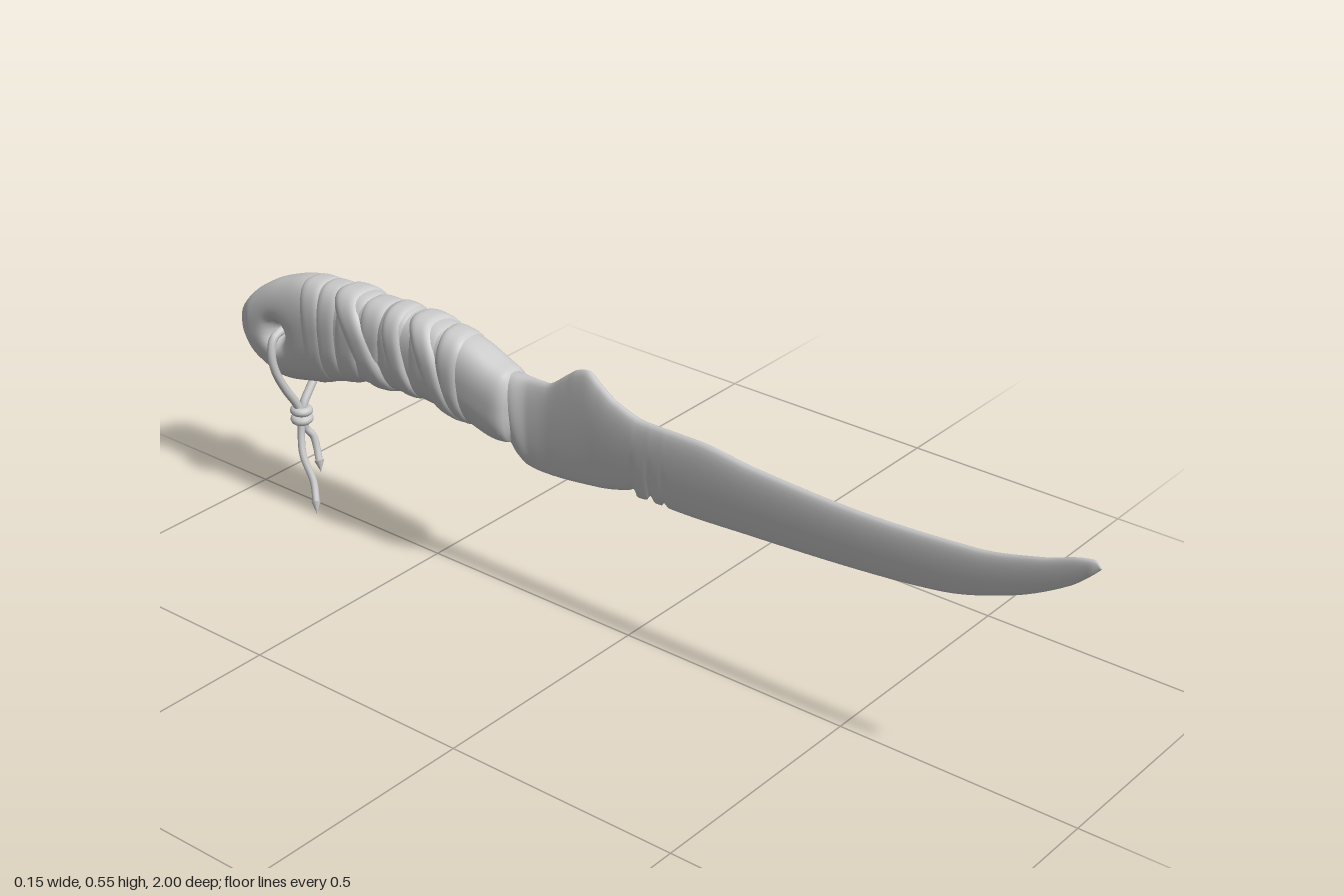
import * as THREE from 'three';

const MID_X = -0.007;
const mat = new THREE.MeshStandardMaterial({ color: 0xcccccc, side: THREE.DoubleSide });

// Smooth, non-overshooting curve through [z, value] keys in ascending z
function curve(keys) {
  const n = keys.length;
  const slope = keys.slice(1).map((k, i) => (k[1] - keys[i][1]) / (k[0] - keys[i][0]));
  const tan = keys.map((_, i) => {
    if (i === 0) return slope[0];
    if (i === n - 1) return slope[n - 2];
    const a = slope[i - 1], b = slope[i];
    return a * b <= 0 ? 0 : (2 * a * b) / (a + b);
  });
  return z => {
    if (z <= keys[0][0]) return keys[0][1];
    if (z >= keys[n - 1][0]) return keys[n - 1][1];
    let i = 0;
    while (z > keys[i + 1][0]) i++;
    const h = keys[i + 1][0] - keys[i][0], t = (z - keys[i][0]) / h, t2 = t * t, t3 = t2 * t;
    return (2 * t3 - 3 * t2 + 1) * keys[i][1] + (t3 - 2 * t2 + t) * h * tan[i]
      + (3 * t2 - 2 * t3) * keys[i + 1][1] + (t3 - t2) * h * tan[i + 1];
  };
}

// Skin of closed rings; point(i, angle) gives [x, y, z], z rising with i
function loft(rings, sides, point) {
  const pos = [], idx = [];
  for (let i = 0; i < rings; i++) {
    for (let j = 0; j < sides; j++) pos.push(...point(i, (j / sides) * Math.PI * 2));
  }
  for (let i = 0; i < rings - 1; i++) {
    for (let j = 0; j < sides; j++) {
      const a = i * sides + j, b = i * sides + (j + 1) % sides;
      idx.push(a, b, a + sides, b, b + sides, a + sides);
    }
  }
  const g = new THREE.BufferGeometry();
  g.setAttribute('position', new THREE.Float32BufferAttribute(pos, 3));
  g.setIndex(idx);
  g.computeVertexNormals();
  return g;
}

const power = (v, e) => Math.sign(v) * Math.abs(v) ** e;

// Blade outline and half thickness
const bladeTop = curve([[-0.32, 0.47], [-0.27, 0.485], [-0.19, 0.488], [-0.14, 0.52], [-0.115, 0.538],
  [-0.09, 0.545], [-0.06, 0.525], [-0.02, 0.5], [0.05, 0.482], [0.17, 0.483], [0.3, 0.47], [0.515, 0.462],
  [0.76, 0.475], [0.89, 0.504], [0.965, 0.53], [0.99, 0.534], [1, 0.522]]);
const bladeBottom = curve([[-0.32, 0.36], [-0.28, 0.335], [-0.26, 0.31], [-0.24, 0.296], [-0.21, 0.292],
  [-0.07, 0.306], [0.005, 0.325], [0.022, 0.333], [0.03, 0.318], [0.05, 0.32], [0.06, 0.333], [0.072, 0.32],
  [0.085, 0.32], [0.092, 0.328], [0.105, 0.32], [0.3, 0.33], [0.515, 0.345], [0.7, 0.367], [0.835, 0.41],
  [0.945, 0.47], [0.985, 0.505], [1, 0.521]]);
const bladeHalf = curve([[-0.32, 0.035], [-0.265, 0.034], [-0.23, 0.02], [-0.18, 0.015], [0, 0.015],
  [0.5, 0.013], [0.85, 0.01], [0.98, 0.007], [1, 0.001]]);

// Handle outline and half width
const gripTop = curve([[-1, 0.402], [-0.995, 0.42], [-0.98, 0.443], [-0.94, 0.48], [-0.88, 0.512],
  [-0.8, 0.535], [-0.7, 0.538], [-0.6, 0.538], [-0.5, 0.536], [-0.38, 0.524], [-0.3, 0.495], [-0.272, 0.484], [-0.262, 0.46]]);
const gripBottom = curve([[-1, 0.398], [-0.995, 0.375], [-0.98, 0.35], [-0.94, 0.312], [-0.88, 0.292],
  [-0.8, 0.306], [-0.7, 0.34], [-0.6, 0.361], [-0.5, 0.369], [-0.38, 0.355], [-0.3, 0.336], [-0.272, 0.338], [-0.262, 0.36]]);
const gripHalf = curve([[-1, 0.002], [-0.996, 0.022], [-0.98, 0.042], [-0.95, 0.053], [-0.85, 0.057],
  [-0.6, 0.054], [-0.4, 0.054], [-0.3, 0.05], [-0.275, 0.044], [-0.262, 0.028]]);

// Point on the handle skin, pushed out by `out`
function gripPoint(z, a, out = 0) {
  const top = gripTop(z) + out, bottom = gripBottom(z) - out;
  const x = (gripHalf(z) + out) * power(Math.sin(a), 0.75);
  return [x, (top + bottom) / 2 - (top - bottom) / 2 * power(Math.cos(a), 0.75), z];
}

// Leather strip wound round the handle: centre z, width, and lean (dz per dy)
function wrapBand(z0, width, lean, lift) {
  const rows = 11;
  return loft(rows, 64, (i, a) => {
    const u = (i / (rows - 1)) * 2 - 1;
    const y0 = gripPoint(z0, a)[1] - 0.45;
    const z = z0 + lean * y0 + u * width / 2 + 0.003 * Math.sin(3 * a + z0 * 40);
    return gripPoint(z, a, -0.004 + (lift + 0.004) * (1 - u ** 4));
  });
}

const tube = (pts, r) => new THREE.TubeGeometry(
  new THREE.CatmullRomCurve3(pts.map(p => new THREE.Vector3(...p))), 48, r, 10);

export function createModel() {
  const model = new THREE.Group();
  const body = new THREE.Group();
  body.name = 'knife';
  body.position.x = MID_X;
  model.add(body);
  const add = (name, geometry, parent = body) => {
    const m = new THREE.Mesh(geometry, mat);
    m.name = name;
    parent.add(m);
    return m;
  };

  // Blade: rounded spine, thin cutting edge
  const bladeRings = 300;
  add('blade', loft(bladeRings, 28, (i, a) => {
    const z = -0.32 + 1.32 * i / (bladeRings - 1);
    const top = bladeTop(z), bottom = bladeBottom(z);
    const v = (1 - Math.cos(a)) / 2;
    const x = bladeHalf(z) * power(Math.sin(a), 0.8) * (0.65 + 0.45 * v);
    return [x, bottom + (top - bottom) * v, z];
  }));

  // Handle: pinched in on both sides around the cord hole
  const gripRings = 130;
  add('handle', loft(gripRings, 96, (i, a) => {
    const t = i / (gripRings - 1);
    const p = gripPoint(-1 + 0.738 * t ** 1.4, a);
    const d = Math.hypot(p[1] - 0.4, p[2] + 0.88);
    p[0] *= 1 - 0.8 * Math.exp(-((d / 0.022) ** 2)) - 0.12 * Math.exp(-((d / 0.045) ** 2));
    return p;
  }));

  // Wrapping: upright strips below, leaning strips crossing over them
  const wraps = new THREE.Group();
  wraps.name = 'handleWrap';
  body.add(wraps);
  [
    [-0.40, 0.06, -0.12, 0.005], [-0.47, 0.08, 0.05, 0.003], [-0.55, 0.07, -0.05, 0.004],
    [-0.61, 0.065, 0.06, 0.003], [-0.67, 0.065, 0.1, 0.004], [-0.725, 0.06, -0.08, 0.003],
    [-0.77, 0.06, -0.1, 0.003], [-0.445, 0.065, -0.5, 0.009], [-0.635, 0.07, -0.55, 0.009],
    [-0.535, 0.055, -0.25, 0.007],
  ].forEach(b => add('wrapStrip', wrapBand(...b), wraps));

  // Lanyard: loop through the hole, knot, two tails with pointed ends
  const lanyard = new THREE.Group();
  lanyard.name = 'lanyard';
  model.add(lanyard);
  add('cordLoop', tube([
    [-0.006, 0.195, -0.87], [-0.014, 0.226, -0.871], [-0.04, 0.27, -0.874], [-0.062, 0.32, -0.878],
    [-0.067, 0.36, -0.88], [-0.056, 0.392, -0.881], [-0.02, 0.402, -0.88], [0.025, 0.402, -0.88],
    [0.053, 0.39, -0.881], [0.066, 0.36, -0.88], [0.062, 0.31, -0.878], [0.053, 0.28, -0.876],
    [0.027, 0.25, -0.873], [0.004, 0.222, -0.871], [0.0, 0.195, -0.87],
  ], 0.009), lanyard);
  [[0.192, 0.08], [0.211, -0.06]].forEach(([y, tilt]) => {
    const ring = add('knotRing', new THREE.TorusGeometry(0.0145, 0.0095, 12, 28).rotateX(Math.PI / 2), lanyard);
    ring.position.set(-0.004, y, -0.87);
    ring.rotation.z = tilt;
  });
  const tails = [
    [[-0.005, 0.195, -0.87], [-0.01, 0.16, -0.869], [-0.019, 0.115, -0.858], [-0.018, 0.06, -0.833], [-0.029, 0.024, -0.817]],
    [[0.0, 0.195, -0.87], [0.006, 0.165, -0.871], [0.018, 0.145, -0.864], [0.019, 0.12, -0.856], [0.014, 0.094, -0.846]],
  ];
  const tips = [[-0.038, 0.001, -0.808], [0.01, 0.07, -0.838]];
  tails.forEach((pts, i) => {
    add('cordTail', tube(pts, 0.0078), lanyard);
    const from = new THREE.Vector3(...pts[4]), to = new THREE.Vector3(...tips[i]);
    const dir = to.clone().sub(from);
    const tip = add('cordTip', new THREE.ConeGeometry(0.0105, dir.length(), 10), lanyard);
    tip.position.copy(from).addScaledVector(dir, 0.5);
    tip.quaternion.setFromUnitVectors(new THREE.Vector3(0, 1, 0), dir.normalize());
  });
  return model;
}
